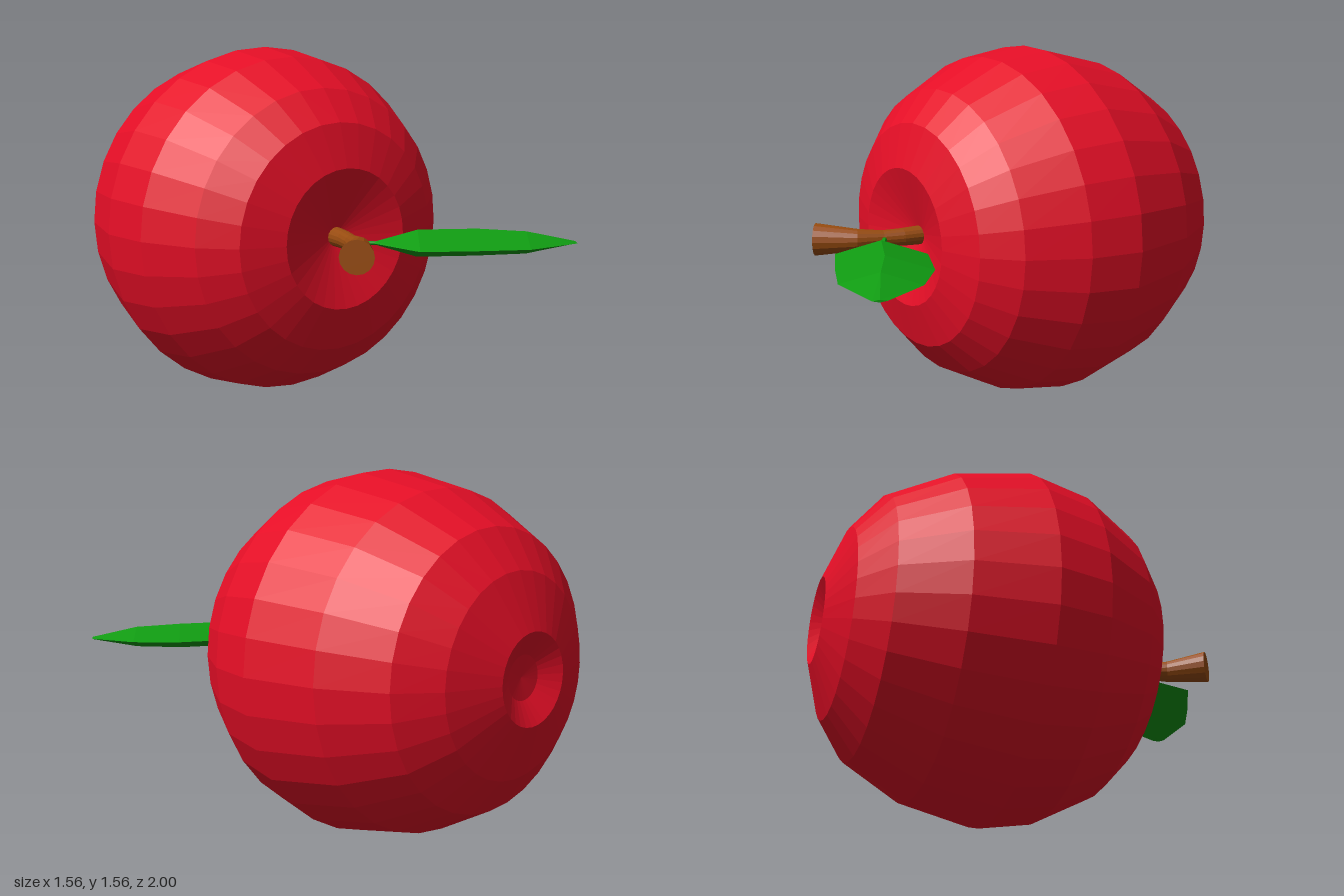
import * as THREE from 'three';

const MID = 0.785; // height of the fruit's axis, which runs along z

const flat = (name, color) => new THREE.MeshStandardMaterial({ name, color, flatShading: true });

// Skin a row of closed rings and cap both ends
function loft(rings) {
  const n = rings[0].length;
  const pos = rings.flat(2);
  const index = [];
  for (let r = 0; r < rings.length - 1; r++) {
    for (let i = 0; i < n; i++) {
      const a = r * n + i, b = r * n + (i + 1) % n;
      index.push(a, b, b + n, a, b + n, a + n);
    }
  }
  const last = (rings.length - 1) * n;
  for (let i = 1; i < n - 1; i++) {
    index.push(0, i + 1, i, last, last + i, last + i + 1);
  }
  const geo = new THREE.BufferGeometry();
  geo.setAttribute('position', new THREE.Float32BufferAttribute(pos, 3));
  geo.setIndex(index);
  geo.computeVertexNormals();
  return geo;
}

// Round ring at (x, z), facing the heading angle in the horizontal plane
function roundRing([x, z, radius, heading], sides) {
  return Array.from({ length: sides }, (_, i) => {
    const t = (i / sides) * Math.PI * 2;
    const u = Math.cos(t) * radius;
    return [x + u * Math.cos(heading), MID + Math.sin(t) * radius, z - u * Math.sin(heading)];
  });
}

export function createModel() {
  const group = new THREE.Group();
  group.name = 'apple';
  const add = (name, geo, mat) => {
    const mesh = new THREE.Mesh(geo, mat);
    mesh.name = name;
    group.add(mesh);
    return mesh;
  };
  const red = flat('red skin', 0xe50e26);
  const brown = flat('brown stem', 0x984c10);
  const green = flat('green leaf', 0x109c12);

  // Fruit: [radius, z] from the back hollow to the front hollow
  const profile = [
    [0, -0.94], [0.09, -0.95], [0.185, -1], [0.41, -0.92], [0.57, -0.8],
    [0.71, -0.545], [0.78, -0.22], [0.74, 0.01], [0.615, 0.245],
    [0.48, 0.365], [0.295, 0.42], [0, 0.33],
  ].map(([r, z]) => new THREE.Vector2(r, z));
  const fruit = add('fruit', new THREE.LatheGeometry(profile, 32), red);
  fruit.rotation.x = Math.PI / 2;
  fruit.position.y = MID;

  // Stem: [x, z, radius, heading], widening towards the cut end
  const stem = [
    [0.005, 0.31, 0.042, 0], [-0.01, 0.42, 0.038, -0.1],
    [-0.033, 0.5, 0.035, -0.3], [-0.07, 0.6, 0.047, -0.55],
    [-0.183, 0.738, 0.069, -0.69],
  ];
  add('stem', loft(stem.map((s) => roundRing(s, 16))), brown);

  // Leaf stalk
  const stalk = [[-0.02, 0.5, 0.014, 0.9], [0.06, 0.552, 0.007, 0.9]];
  add('leafStalk', loft(stalk.map((s) => roundRing(s, 6))), green);

  // Leaf: two edge points (x, z) and half the thickness at the midrib
  const leaf = [
    [0.06, 0.533, 0.04, 0.552, 0.006],
    [0.3, 0.49, 0.085, 0.79, 0.056],
    [0.52, 0.6, 0.3, 0.905, 0.056],
    [0.67, 0.745, 0.48, 0.99, 0.046],
    [0.76, 0.95, 0.735, 0.997, 0.005],
  ].map(([ax, az, bx, bz, h]) => {
    const mx = (ax + bx) / 2, mz = (az + bz) / 2;
    return [[ax, MID, az], [mx, MID + h, mz], [bx, MID, bz], [mx, MID - h, mz]];
  });
  add('leaf', loft(leaf), green);

  return group;
}
